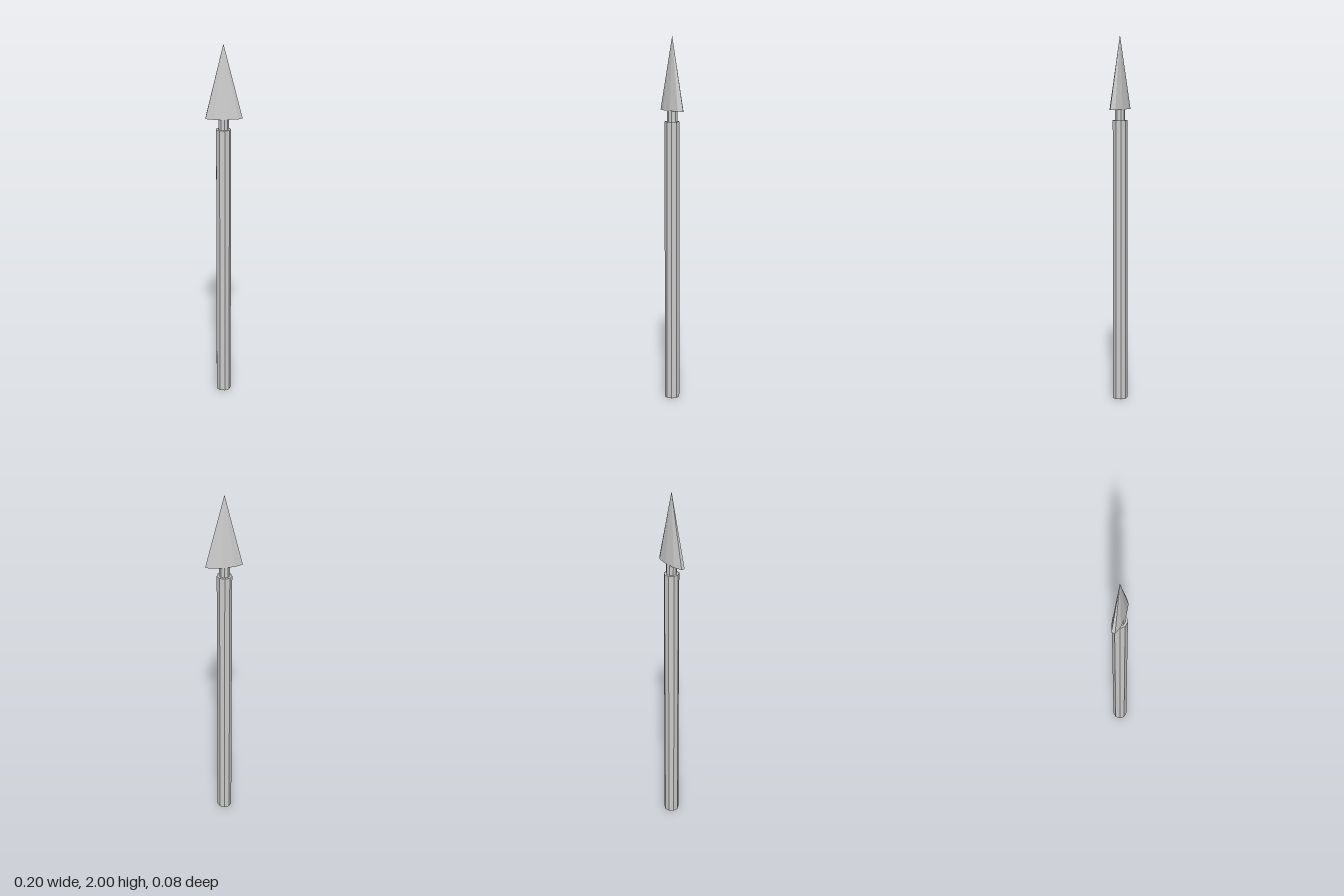
import * as THREE from 'three';

const SIDES = 9;
const CENTRE_X = -0.003; // nine-sided outline is slightly lopsided along x

export function createModel() {
  const group = new THREE.Group();
  const material = new THREE.MeshStandardMaterial({ color: 0xcccccc, flatShading: true });

  // Upright nine-sided prism or cone with one corner facing +x
  function addPart(name, topRadius, bottomRadius, y0, y1, depthScale = 1) {
    const geometry = new THREE.CylinderGeometry(
      topRadius, bottomRadius, y1 - y0, SIDES, 1, false, Math.PI / 2);
    geometry.scale(1, 1, depthScale);
    geometry.translate(CENTRE_X, (y0 + y1) / 2, 0);
    const mesh = new THREE.Mesh(geometry, material);
    mesh.name = name;
    group.add(mesh);
  }

  // Long handle
  addPart('shaft', 0.041, 0.041, 0, 1.546);
  // Thin joint between handle and head
  addPart('neck', 0.0285, 0.0285, 1.546, 1.604);
  // Flattened cone
  addPart('spearHead', 0, 0.1015, 1.604, 2, 0.28);

  return group;
}
